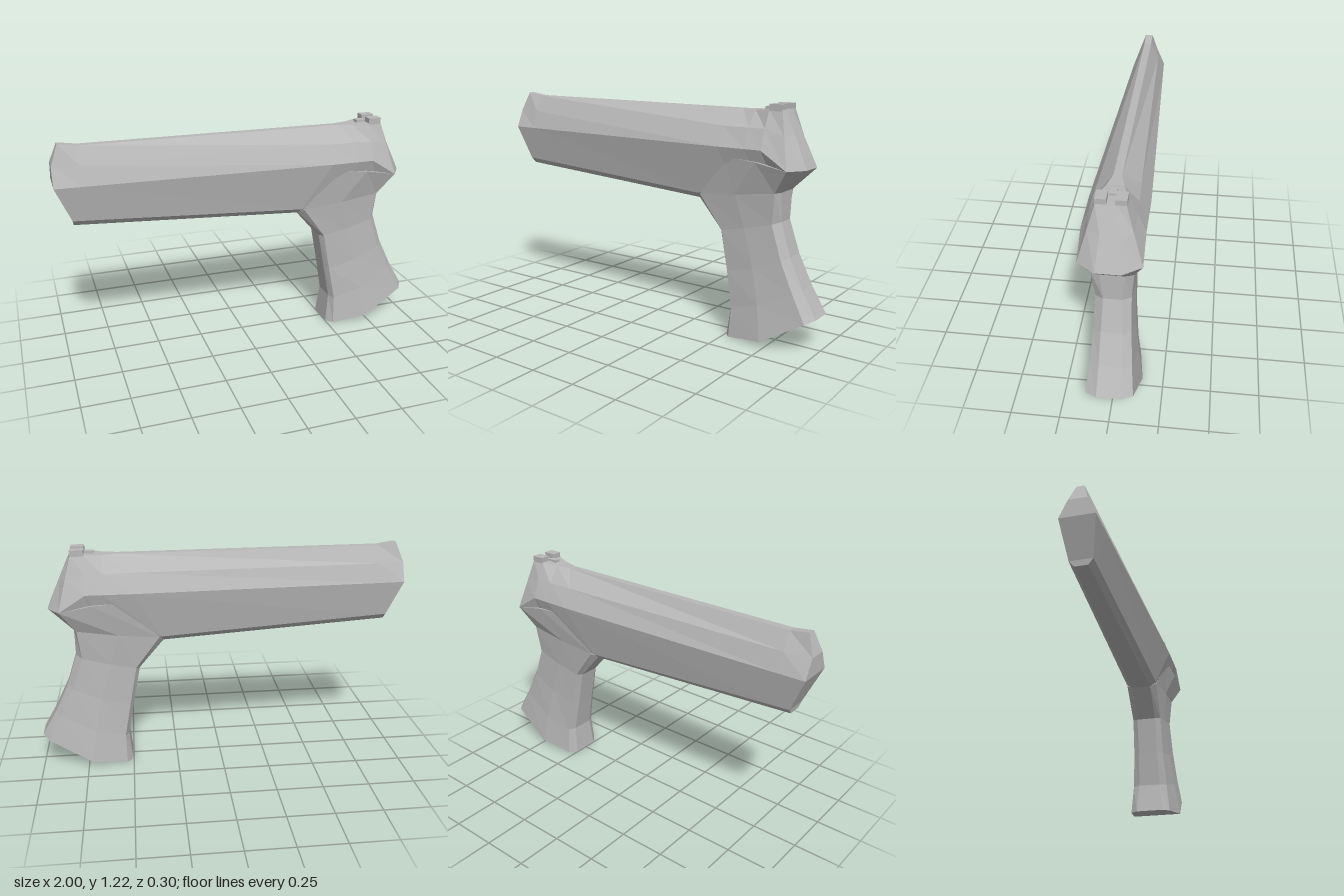
import * as THREE from 'three';

const grey = new THREE.MeshStandardMaterial({ color: 0xb8b8b8 });
grey.name = 'plain grey';

// Closed faceted solid through half-sections, each mirrored across z = 0
function loft(name, halves) {
  const rings = halves.map(h => [...h, ...h.slice().reverse().map(([x, y, z]) => [x, y, -z])]);
  const n = rings[0].length;
  const pos = rings.flat(2);
  const idx = [];
  for (let i = 0; i < rings.length - 1; i++) {
    for (let j = 0; j < n; j++) {
      const a = i * n + j, b = i * n + (j + 1) % n;
      idx.push(a, b, b + n, a, b + n, a + n);
    }
  }
  // end caps, in mirrored strips
  const last = (rings.length - 1) * n;
  for (let j = 0; j < n / 2 - 1; j++) {
    const a = j, b = j + 1, c = n - 2 - j, d = n - 1 - j;
    idx.push(a, c, b, a, d, c);
    idx.push(last + a, last + b, last + c, last + a, last + c, last + d);
  }
  // turn the faces outward if the solid came out inverted
  const v = i => new THREE.Vector3(...pos.slice(i * 3, i * 3 + 3));
  let volume = 0;
  for (let i = 0; i < idx.length; i += 3) volume += v(idx[i]).dot(v(idx[i + 1]).cross(v(idx[i + 2])));
  if (volume < 0) idx.reverse();
  const indexed = new THREE.BufferGeometry();
  indexed.setAttribute('position', new THREE.Float32BufferAttribute(pos, 3));
  indexed.setIndex(idx);
  const geo = indexed.toNonIndexed();
  geo.computeVertexNormals();
  const mesh = new THREE.Mesh(geo, grey);
  mesh.name = name;
  return mesh;
}

export function createModel() {
  const group = new THREE.Group();
  group.name = 'toolBody';

  // Long upper body: top, shoulder, widest ridge, lower edge, underside
  group.add(loft('upperBody', [
    [[-0.96, 1.205, 0.02], [-1, 1.1, 0.048], [-1, 1.0, 0.092], [-0.92, 0.81, 0.06], [-0.915, 0.78, 0.035]],
    [[-0.86, 1.19, 0.02], [-0.86, 1.1, 0.065], [-0.86, 1.0, 0.098], [-0.86, 0.807, 0.062], [-0.86, 0.777, 0.037]],
    [[0.54, 1.183, 0.02], [0.47, 1.1, 0.102], [0.47, 1.0, 0.15], [0.32, 0.74, 0.09], [0.31, 0.71, 0.055]],
    [[0.62, 1.183, 0.04], [0.62, 1.1, 0.108], [0.62, 1.0, 0.15], [0.55, 0.76, 0.08], [0.55, 0.73, 0.05]],
    [[0.71, 1.19, 0.07], [0.71, 1.1, 0.11], [0.71, 1.0, 0.15], [0.68, 0.82, 0.09], [0.68, 0.78, 0.05]],
    [[0.78, 1.19, 0.07], [0.81, 1.07, 0.104], [0.85, 0.91, 0.15], [0.77, 0.82, 0.09], [0.75, 0.78, 0.05]],
    [[0.785, 1.19, 0.03], [0.84, 1.07, 0.043], [0.912, 0.91, 0.06], [0.78, 0.81, 0.055], [0.76, 0.78, 0.04]],
  ]));

  // Grip: front strip, front corner, middle, rear corner, rear strip
  group.add(loft('grip', [
    [[0.48, 0.95, 0.05], [0.5, 0.95, 0.13], [0.68, 0.94, 0.145], [0.85, 0.91, 0.15], [0.912, 0.91, 0.06]],
    [[0.31, 0.712, 0.055], [0.335, 0.735, 0.09], [0.55, 0.76, 0.105], [0.77, 0.79, 0.102], [0.785, 0.79, 0.06]],
    [[0.445, 0.555, 0.055], [0.465, 0.56, 0.084], [0.6, 0.59, 0.092], [0.752, 0.63, 0.088], [0.785, 0.64, 0.045]],
    [[0.485, 0.35, 0.055], [0.505, 0.35, 0.088], [0.66, 0.39, 0.1], [0.81, 0.455, 0.094], [0.84, 0.47, 0.052]],
    [[0.52, 0.16, 0.062], [0.54, 0.16, 0.1], [0.7, 0.21, 0.118], [0.885, 0.3, 0.104], [0.915, 0.315, 0.056]],
    [[0.503, 0.0, 0.075], [0.535, 0.002, 0.115], [0.73, 0.03, 0.143], [0.96, 0.165, 0.118], [0.995, 0.178, 0.06]],
  ]));

  // Pair of raised rear blocks with a low bead between them
  for (const side of [1, -1]) {
    const block = new THREE.Mesh(new THREE.BoxGeometry(0.07, 0.04, 0.052), grey);
    block.position.set(0.745, 1.197, side * 0.046);
    block.name = side > 0 ? 'rearBlockFront' : 'rearBlockBack';
    group.add(block);
  }
  const bead = new THREE.Mesh(new THREE.BoxGeometry(0.05, 0.02, 0.034), grey);
  bead.position.set(0.685, 1.19, 0);
  bead.name = 'centreBead';
  group.add(bead);

  return group;
}
